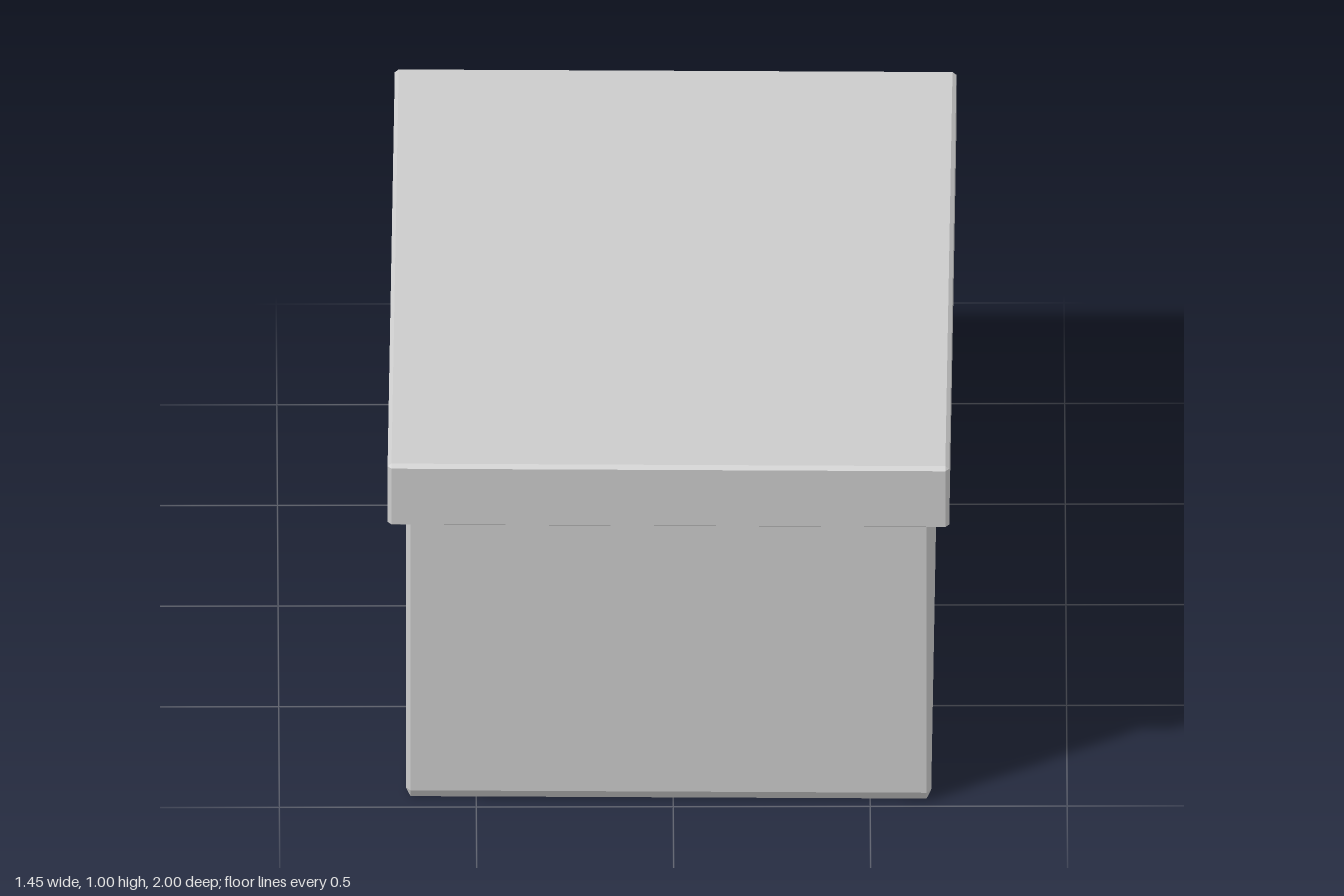
import * as THREE from 'three';
import { ConvexGeometry } from 'three/addons/geometries/ConvexGeometry.js';

const material = new THREE.MeshStandardMaterial({ color: 0xcccccc, flatShading: true });

// Box with chamfered edges; the bevel can differ along each axis.
function chamferedBox(name, size, bevel, y0, z) {
  const half = size.map((s) => s / 2);
  const points = [];
  for (const sx of [-1, 1]) for (const sy of [-1, 1]) for (const sz of [-1, 1]) {
    const sign = [sx, sy, sz];
    // one point per face meeting at this corner
    for (let face = 0; face < 3; face++) {
      points.push(new THREE.Vector3(
        ...sign.map((s, i) => s * (half[i] - (i === face ? 0 : bevel[i])))));
    }
  }
  const mesh = new THREE.Mesh(new ConvexGeometry(points), material);
  mesh.name = name;
  mesh.position.set(0, y0 + half[1], z);
  return mesh;
}

export function createModel() {
  const group = new THREE.Group();
  group.name = 'liddedBox';

  // The whole box sits turned very slightly.
  const turned = new THREE.Group();
  turned.name = 'box';
  turned.rotation.y = -0.0125;
  turned.add(
    chamferedBox('body', [1.334, 0.97, 1.927], [0.012, 0.026, 0.015], 0, 0.005),
    chamferedBox('lid', [1.426, 0.18, 1.982], [0.01, 0.008, 0.012], 0.817, 0),
  );
  group.add(turned);
  return group;
}
